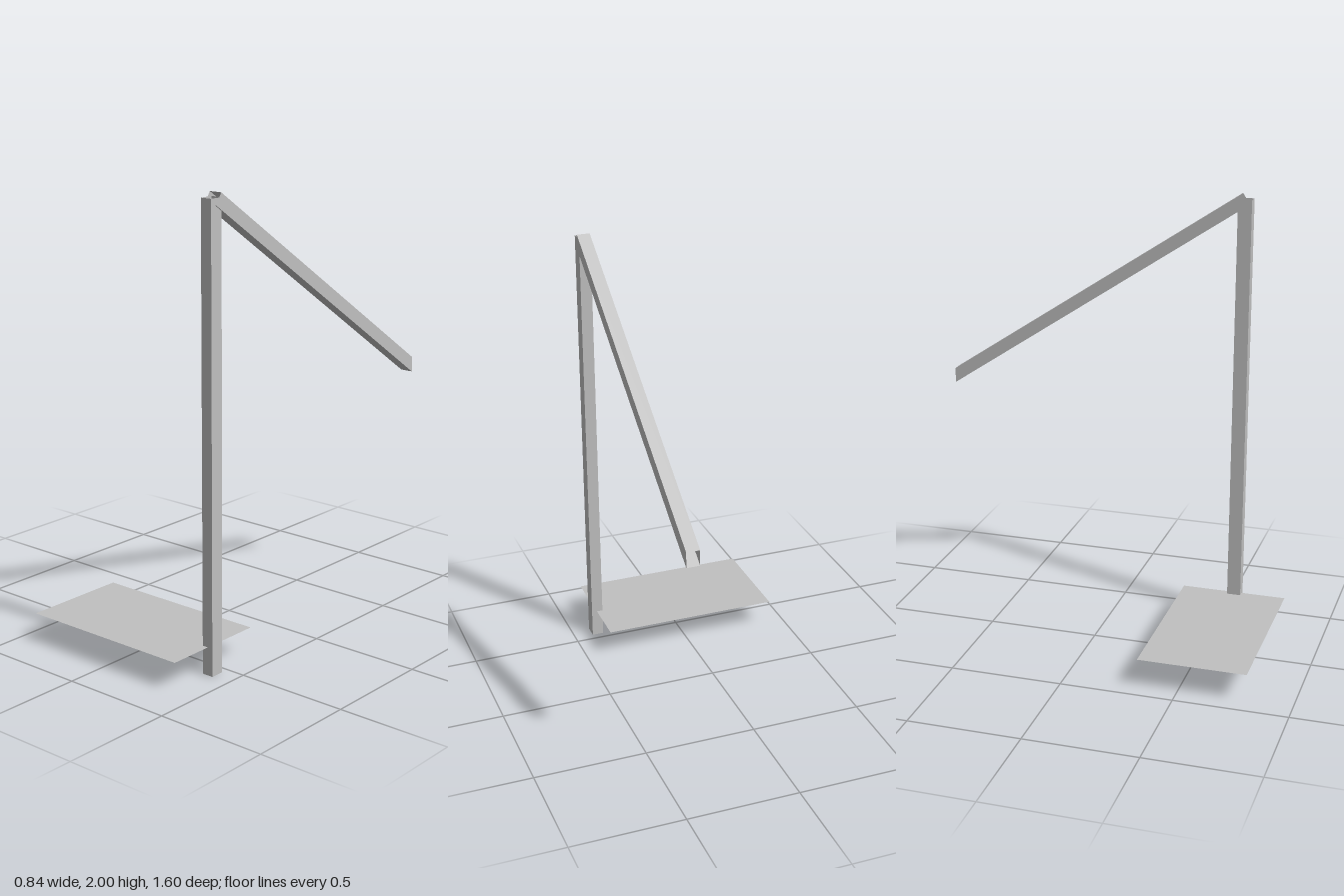
import * as THREE from 'three';

const grey = new THREE.MeshStandardMaterial({ color: 0xc0c0c0, side: THREE.DoubleSide });
grey.name = 'plainGrey';

// Open-ended four-sided tube joining two rings of corners
function openTube(name, ringA, ringB) {
  const pos = [];
  for (let i = 0; i < 4; i++) {
    const j = (i + 1) % 4;
    const [a, b, c, d] = [ringA[i], ringA[j], ringB[j], ringB[i]];
    pos.push(...a, ...b, ...c, ...a, ...c, ...d);
  }
  const geo = new THREE.BufferGeometry();
  geo.setAttribute('position', new THREE.Float32BufferAttribute(pos, 3));
  geo.computeVertexNormals();
  const mesh = new THREE.Mesh(geo, grey);
  mesh.name = name;
  return mesh;
}

// Flat horizontal sheet facing up
function sheet(name, width, depth, x, y, z) {
  const mesh = new THREE.Mesh(new THREE.PlaneGeometry(width, depth).rotateX(-Math.PI / 2), grey);
  mesh.name = name;
  mesh.position.set(x, y, z);
  return mesh;
}

export function createModel() {
  const group = new THREE.Group();
  group.name = 'angledStand';

  // Upright post, hollow and open at both ends
  const postRing = (y) => [[0.362, y, 0.596], [0.414, y, 0.596], [0.414, y, 0.534], [0.362, y, 0.534]];
  group.add(openTube('post', postRing(0), postRing(1.98)));

  // Sloping arm: square cut at the top, vertical cut at the low end
  const armRing = (topY, topZ, lowY, lowZ) =>
    [[0.362, lowY, lowZ], [0.42, lowY, lowZ], [0.42, topY, topZ], [0.362, topY, topZ]];
  group.add(openTube('arm', armRing(2, 0.543, 1.953, 0.574), armRing(1.104, -0.8, 1.036, -0.8)));

  // Flat base sheet crossing the post, with a tiny square tab
  group.add(sheet('basePlate', 0.81, 0.48, -0.015, 0.125, 0.56));
  group.add(sheet('smallTab', 0.014, 0.014, 0.315, 0.132, 0.424));

  return group;
}
